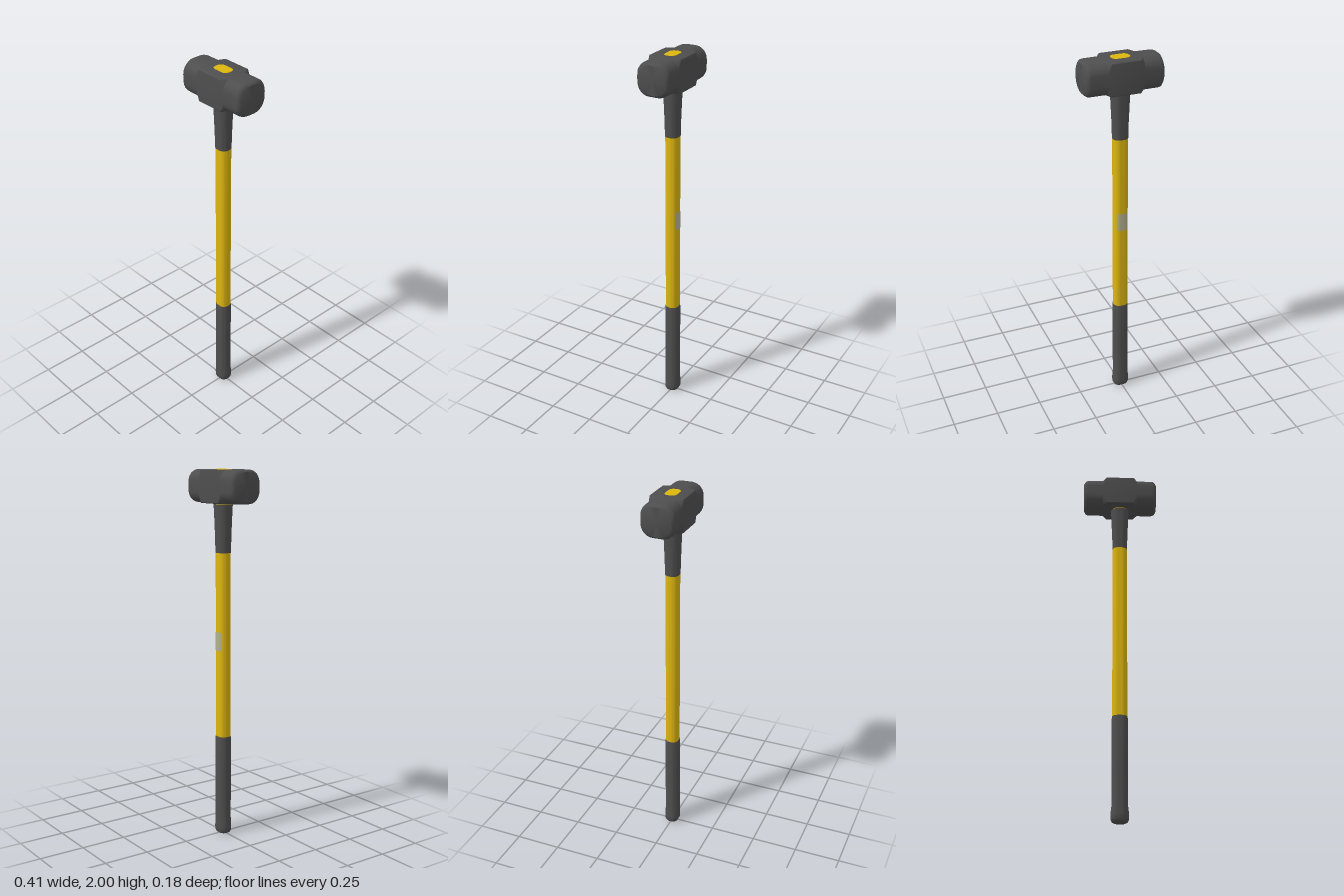
import * as THREE from 'three';
import { toCreasedNormals } from 'three/addons/utils/BufferGeometryUtils.js';

const STEPS = 6; // segments per rounded corner

// Rounded-rectangle outline, counter-clockwise seen from +y
function outline(hx, hz, r) {
  const pts = [];
  for (let q = 0; q < 4; q++) {
    const sx = q === 0 || q === 3 ? 1 : -1;
    const sz = q < 2 ? 1 : -1;
    for (let i = 0; i <= STEPS; i++) {
      const a = (q + i / STEPS) * Math.PI / 2;
      pts.push([sx * (hx - r) + r * Math.cos(a), -(sz * (hz - r) + r * Math.sin(a))]);
    }
  }
  return pts;
}

// Closed loft along y; each section is [y, halfX, halfZ, cornerRadius]
function loft(sections) {
  const n = 4 * (STEPS + 1), pos = [], idx = [];
  for (const [y, hx, hz, r] of sections)
    for (const [x, z] of outline(hx, hz, r)) pos.push(x, y, z);
  const last = sections.length - 1;
  for (let s = 0; s < last; s++)
    for (let i = 0; i < n; i++) {
      const a = s * n + i, b = s * n + (i + 1) % n;
      idx.push(a, b, b + n, a, b + n, a + n);
    }
  const bottom = pos.length / 3, top = bottom + 1;
  pos.push(0, sections[0][0], 0, 0, sections[last][0], 0);
  for (let i = 0; i < n; i++) {
    const j = (i + 1) % n;
    idx.push(bottom, j, i, top, last * n + i, last * n + j);
  }
  const g = new THREE.BufferGeometry();
  g.setAttribute('position', new THREE.Float32BufferAttribute(pos, 3));
  g.setIndex(idx);
  return toCreasedNormals(g, 0.6);
}

export function createModel() {
  const group = new THREE.Group();
  const material = (name, color) => {
    const m = new THREE.MeshStandardMaterial({ color });
    m.name = name;
    return m;
  };
  const grey = material('dark grey', 0x4e4e4e);
  const yellow = material('yellow', 0xdcb50f);
  const beige = material('label beige', 0xb3ae90);
  const add = (name, geometry, mat) => {
    const mesh = new THREE.Mesh(geometry, mat);
    mesh.name = name;
    group.add(mesh);
    return mesh;
  };

  // Head: square block in the middle, rounded striking ends, mirrored along its length
  const half = [
    [0.078, 0.087, 0.09, 0.006],
    [0.098, 0.087, 0.09, 0.058],
    [0.183, 0.087, 0.09, 0.06],
    [0.193, 0.086, 0.089, 0.063],
    [0.201, 0.082, 0.085, 0.068],
    [0.207, 0.075, 0.077, 0.07],
  ];
  const mirrored = half.map(([y, ...rest]) => [-y, ...rest]).reverse();
  add('head', loft([...mirrored, ...half]).rotateZ(-Math.PI / 2), grey).position.y = 1.911;

  // Handle end showing in the top of the head
  add('handleTop', loft([
    [1.98, 0.05, 0.033, 0.027],
    [1.998, 0.05, 0.033, 0.027],
    [2.0, 0.048, 0.031, 0.025],
  ]), yellow);

  // Thin ring of handle between head and collar
  add('handleNeck', loft([[1.815, 0.047, 0.042, 0.036], [1.83, 0.047, 0.042, 0.036]]), yellow);

  // Tapered collar under the head
  add('collar', loft([
    [1.565, 0.041, 0.037, 0.032],
    [1.65, 0.043, 0.039, 0.034],
    [1.74, 0.047, 0.042, 0.037],
    [1.819, 0.05, 0.045, 0.038],
  ]), grey);

  // Long shaft
  add('shaft', loft([[0.55, 0.04, 0.035, 0.03], [1.57, 0.04, 0.035, 0.03]]), yellow);

  // Grip with flared butt
  add('grip', loft([
    [0, 0.032, 0.026, 0.024],
    [0.005, 0.04, 0.034, 0.03],
    [0.015, 0.045, 0.039, 0.034],
    [0.035, 0.046, 0.04, 0.036],
    [0.06, 0.045, 0.04, 0.036],
    [0.085, 0.042, 0.039, 0.035],
    [0.3, 0.042, 0.039, 0.035],
    [0.55, 0.042, 0.039, 0.035],
    [0.56, 0.041, 0.037, 0.033],
  ]), grey);

  // Blank label wrapped around the back of the shaft
  const label = new THREE.PlaneGeometry(0.058, 0.1, 12, 1).rotateY(Math.PI);
  const p = label.attributes.position;
  for (let i = 0; i < p.count; i++) {
    const d = Math.max(0, Math.abs(p.getX(i)) - 0.01);
    p.setZ(i, -(0.0065 + Math.sqrt(0.03 ** 2 - d ** 2)));
  }
  label.computeVertexNormals();
  add('label', label, beige).position.y = 1.09;

  return group;
}
